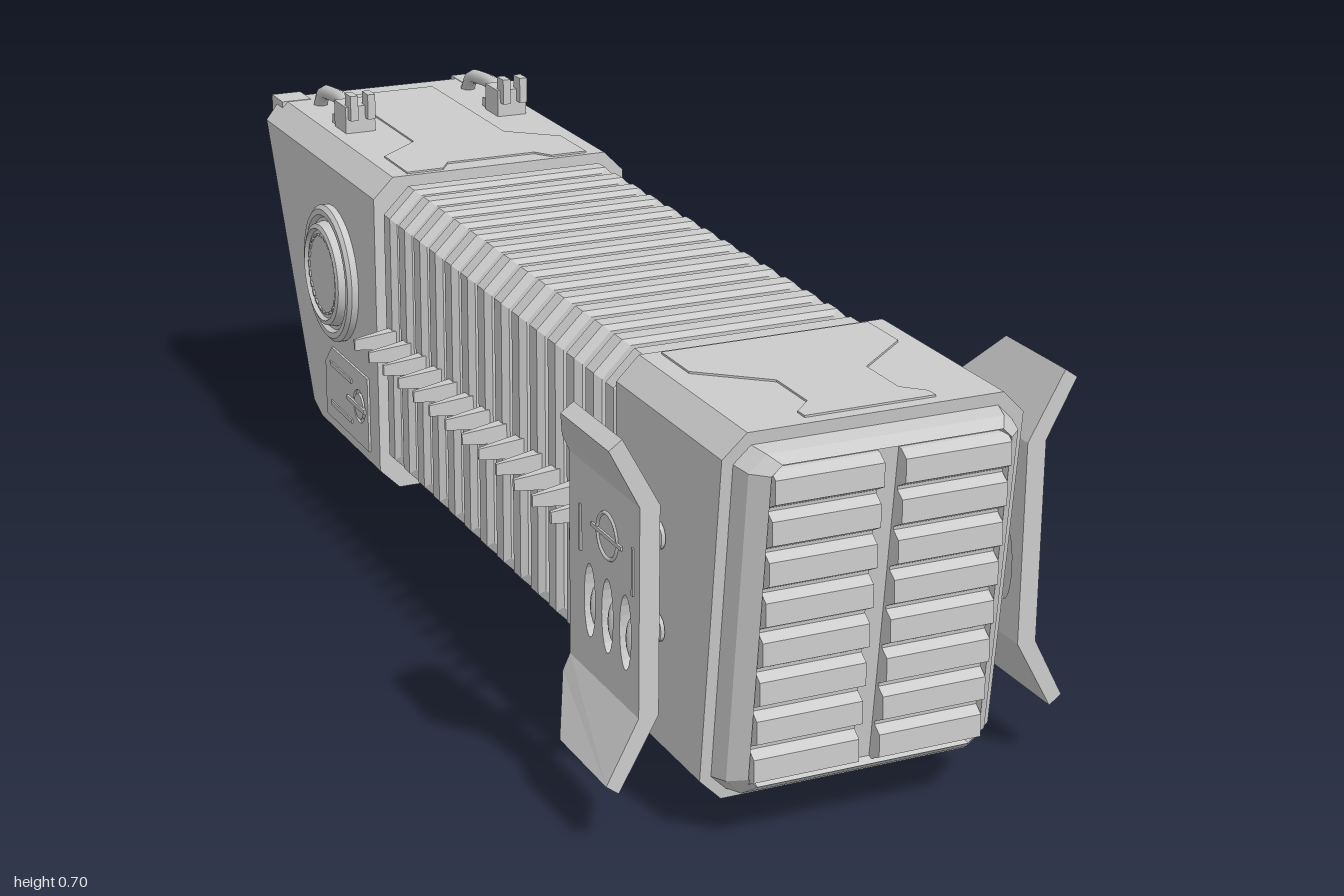
import * as THREE from 'three';
import { toCreasedNormals } from 'three/addons/utils/BufferGeometryUtils.js';

const material = new THREE.MeshStandardMaterial({ color: 0xcccccc });

function add(parent, name, geo) {
  const m = new THREE.Mesh(geo, material);
  m.name = name;
  parent.add(m);
  return m;
}

// Mirror a geometry in x, keeping its faces outward
function mirrored(geo) {
  const g = (geo.index ? geo.toNonIndexed() : geo.clone()).scale(-1, 1, 1);
  for (const a of Object.values(g.attributes)) {
    const n = a.itemSize;
    for (let i = 0; i < a.count; i += 3)
      for (let k = 0; k < n; k++) {
        const p = (i + 1) * n + k, q = p + n, t = a.array[p];
        a.array[p] = a.array[q];
        a.array[q] = t;
      }
  }
  return g;
}

function pair(parent, name, geo) {
  add(parent, name + 'Left', geo);
  add(parent, name + 'Right', mirrored(geo));
}

const box = (w, h, d, x, y, z) => new THREE.BoxGeometry(w, h, d).translate(x, y, z);

// Loft of chamfered rectangles [halfWidth, y0, y1, chamfer, z(y)], back to front, capped
function loft(rings) {
  const loops = rings.map(([w, y0, y1, c, z]) =>
    [[w, y0 + c], [w, y1 - c], [w - c, y1], [c - w, y1], [-w, y1 - c], [-w, y0 + c], [c - w, y0], [w - c, y0]]
      .map(([x, y]) => [x, y, typeof z === 'function' ? z(y) : z]));
  const pos = [];
  const tri = (...p) => p.forEach(v => pos.push(...v));
  for (let k = 0; k + 1 < loops.length; k++)
    for (let i = 0; i < 8; i++) {
      const j = (i + 1) % 8, a = loops[k], b = loops[k + 1];
      tri(a[i], a[j], b[j]);
      tri(a[i], b[j], b[i]);
    }
  const s = loops[0], e = loops[loops.length - 1];
  for (let i = 1; i < 7; i++) {
    tri(s[0], s[i + 1], s[i]);
    tri(e[0], e[i], e[i + 1]);
  }
  const g = new THREE.BufferGeometry();
  g.setAttribute('position', new THREE.Float32BufferAttribute(pos, 3));
  g.computeVertexNormals();
  return g;
}

// Side profile of [z, y] points extruded from x0 to x1, with oval holes [z, y, rz, ry]
function sideExtrude(points, x0, x1, holes = []) {
  const shape = new THREE.Shape(points.map(([z, y]) => new THREE.Vector2(-z, y)));
  for (const [z, y, rz, ry] of holes)
    shape.holes.push(new THREE.Path().absellipse(-z, y, rz, ry, 0, Math.PI * 2, true));
  return new THREE.ExtrudeGeometry(shape, { depth: x1 - x0, bevelEnabled: false, curveSegments: 10 })
    .rotateY(Math.PI / 2).translate(x0, 0, 0);
}

// Thin plate lying flat: half outline of [x, z] mirrored across x = 0
function flatPlate(half, y, t) {
  const pts = [...half, ...half.slice().reverse().map(([x, z]) => [-x, z])];
  return new THREE.ExtrudeGeometry(new THREE.Shape(pts.map(([x, z]) => new THREE.Vector2(x, -z))),
    { depth: t, bevelEnabled: false }).rotateX(-Math.PI / 2).translate(0, y, 0);
}

// Lathe whose axis points along +x
const sideLathe = (pts, seg, x, y, z) => toCreasedNormals(
  new THREE.LatheGeometry(pts.map(p => new THREE.Vector2(...p)), seg), 0.5)
  .rotateZ(-Math.PI / 2).translate(x, y, z);

const tube = (pts, r) => new THREE.TubeGeometry(
  new THREE.CatmullRomCurve3(pts.map(p => new THREE.Vector3(...p))), 20, r, 8);

const frontZ = y => 0.94 - (0.625 - y) * 0.108;
const rearZ = y => -0.97 + (0.6 - y) * 0.4375;
const off = (f, d) => y => f(y) + d;

function frontBlock() {
  const g = new THREE.Group();
  g.name = 'frontBlock';
  add(g, 'frontHousing', loft([
    [0.23, 0.06, 0.625, 0.035, 0.6],
    [0.23, 0.06, 0.625, 0.035, frontZ],
    [0.213, 0.075, 0.606, 0.025, frontZ],
    [0.205, 0.08, 0.602, 0.025, off(frontZ, 0.03)],
    [0.182, 0.098, 0.592, 0.015, off(frontZ, 0.052)],
    [0.178, 0.102, 0.588, 0.012, off(frontZ, 0.035)],
  ]));
  // Two louvre columns with stepped slats
  const profile = [[0.88, 0.59], [0.88, 0.1]];
  for (let i = 0; i < 8; i++)
    for (const [dy, d] of [[0, 0.042], [0.012, 0.063], [0.046, 0.058], [0.056, 0.042]]) {
      const y = 0.1 + 0.061 * i + dy;
      profile.push([frontZ(y) + d, y]);
    }
  pair(g, 'louvreColumn', sideExtrude(profile, 0.016, 0.179));
  add(g, 'frontTopPanel', flatPlate([[0.1, 0.92], [0.1, 0.9], [0.07, 0.87], [0.07, 0.78], [0.165, 0.7], [0.165, 0.61]], 0.624, 0.004));

  // Ribbed rods carrying the side wings
  const rod = [];
  for (let i = 0; i < 7; i++) {
    const x = i * 0.0125;
    rod.push([0.016, x], [0.021, x + 0.002], [0.021, x + 0.008], [0.016, x + 0.01]);
  }
  for (const y of [0.415, 0.275]) pair(g, 'wingRod', sideLathe(rod, 16, 0.205, y, 0.75));

  // Side wings: pierced centre plate with arms flaring outward
  const slots = [0.82, 0.76, 0.7];
  pair(g, 'wingPlate', sideExtrude([[0.865, 0.2], [0.63, 0.2], [0.63, 0.51], [0.865, 0.51]],
    0.285, 0.315, slots.map(z => [z, 0.31, 0.019, 0.056])));
  pair(g, 'wingBacking', box(0.012, 0.2, 0.2, 0.293, 0.31, 0.755));
  for (const z of slots)
    pair(g, 'wingSlotInsert', new THREE.SphereGeometry(1, 12, 8).scale(0.014, 0.035, 0.012).translate(0.3, 0.3, z));
  for (const up of [1, -1]) {
    const hinge = up > 0 ? 0.51 : 0.2, tip = up > 0 ? 0.612 : 0.092;
    const outline = [[0.865, hinge], [0.63, hinge], [0.63, hinge + up * 0.025], [0.705, tip], [0.865, tip]];
    const arm = sideExtrude(outline, 0.285, 0.315);
    const p = arm.attributes.position;
    for (let i = 0; i < p.count; i++) {
      const d = Math.abs(p.getY(i) - hinge), outer = p.getX(i) > 0.3;
      p.setX(i, p.getX(i) + d * (outer ? 0.45 : 0.55));
      if (outer && d > 0.08) p.setY(i, p.getY(i) - up * 0.014);
    }
    arm.computeVertexNormals();
    pair(g, 'wingArm', arm);
  }
  pair(g, 'wingEmblemRing', new THREE.TorusGeometry(0.033, 0.003, 6, 24).rotateY(Math.PI / 2).translate(0.315, 0.43, 0.76));
  pair(g, 'wingEmblemBar', box(0.006, 0.006, 0.1, 0.315, 0.43, 0.76));
  for (const z of [0.67, 0.845]) pair(g, 'wingTrim', box(0.005, 0.07, 0.005, 0.315, 0.41, z));
  return g;
}

function bellows() {
  const g = new THREE.Group();
  g.name = 'bellows';
  add(g, 'core', loft([[0.185, 0.13, 0.588, 0.03, -0.42], [0.185, 0.13, 0.588, 0.03, 0.62]]));
  // Wedge-shaped spike along +x, tapering to its tip
  const spike = new THREE.BoxGeometry(0.09, 0.036, 0.026);
  const p = spike.attributes.position;
  for (let i = 0; i < p.count; i++)
    if (p.getX(i) > 0) {
      p.setY(i, p.getY(i) * 0.5);
      p.setZ(i, p.getZ(i) > 0 ? 0.01 : 0.004);
    }
  spike.computeVertexNormals();
  for (let i = 0; i < 14; i++) {
    const z = 0.555 - i * 0.07;
    add(g, 'rib', loft([
      [0.21, 0.1, 0.605, 0.045, z - 0.022], [0.22, 0.092, 0.613, 0.045, z - 0.014],
      [0.22, 0.092, 0.613, 0.045, z + 0.014], [0.21, 0.1, 0.605, 0.045, z + 0.022]]));
    pair(g, 'sideSpike', spike.clone().translate(0.243, 0.355, z + 0.006));
    add(g, 'bottomSpike', spike.clone().rotateZ(-Math.PI / 2).translate(0, 0.045, z + 0.006));
  }
  return g;
}

function rearBlock() {
  const g = new THREE.Group();
  g.name = 'rearBlock';
  // Hood with a slanted, hollow rear face and rolled lower edge
  add(g, 'rearHousing', loft([
    [0.165, 0.16, 0.57, 0.03, off(rearZ, 0.075)],
    [0.19, 0.13, 0.59, 0.03, rearZ],
    [0.224, 0.105, 0.612, 0.035, rearZ],
    [0.23, 0.082, 0.625, 0.035, y => rearZ(y) + (y < 0.13 ? 0.02 : 0.004)],
    [0.23, 0.065, 0.625, 0.035, y => rearZ(y) + (y < 0.12 ? 0.055 : 0.01)],
    [0.23, 0.065, 0.625, 0.035, -0.39],
  ]));
  add(g, 'rearInnerPanel', loft([
    [0.115, 0.22, 0.53, 0.025, off(rearZ, 0.072)],
    [0.12, 0.215, 0.535, 0.025, off(rearZ, 0.055)],
    [0.135, 0.2, 0.55, 0.025, off(rearZ, 0.055)],
    [0.142, 0.193, 0.556, 0.025, off(rearZ, 0.08)],
  ]));
  const hz = rearZ(0.25);
  add(g, 'rearHandle', tube([[-0.06, 0.22, hz + 0.09], [-0.058, 0.235, hz + 0.04], [-0.03, 0.25, hz + 0.025],
    [0.03, 0.25, hz + 0.025], [0.058, 0.235, hz + 0.04], [0.06, 0.22, hz + 0.09]], 0.011));
  add(g, 'rearTopPanel', flatPlate([[0.085, -0.93], [0.085, -0.58], [0.165, -0.51], [0.165, -0.4], [0.1, -0.4], [0.08, -0.43]], 0.624, 0.004));
  add(g, 'rearBottomPanel', flatPlate([[0.1, -0.65], [0.1, -0.48], [0.075, -0.45]], 0.058, 0.01));

  // Round side dials with tick marks
  pair(g, 'dial', sideLathe([[0.122, 0], [0.122, 0.02], [0.115, 0.026], [0.105, 0.026], [0.1, 0.018], [0.094, 0.018],
    [0.09, 0.034], [0.082, 0.037], [0.078, 0.03], [0, 0.03]], 40, 0.222, 0.4, -0.6));
  for (let i = 0; i < 24; i++)
    pair(g, 'dialTick', box(0.004, 0.004, 0.011, 0.253, 0.07, 0)
      .rotateX(i * Math.PI / 12).translate(0, 0.4, -0.6));

  // Access panels below the dials
  pair(g, 'accessPanel', sideExtrude([[-0.435, 0.12], [-0.655, 0.12], [-0.655, 0.22], [-0.62, 0.255], [-0.435, 0.255]],
    0.225, 0.234, [[-0.48, 0.19, 0.03, 0.03]]));
  pair(g, 'accessKnob', sideLathe([[0.023, 0], [0.023, 0.006], [0, 0.006]], 20, 0.229, 0.19, -0.48));
  pair(g, 'accessKnobBar', box(0.006, 0.008, 0.09, 0.235, 0.19, -0.49));
  for (const y of [0.15, 0.225]) pair(g, 'accessSlot', box(0.005, 0.008, 0.11, 0.234, y, -0.57));

  // Roof clips, cables and corner lugs
  pair(g, 'clipBase', box(0.055, 0.05, 0.06, 0.145, 0.648, -0.715));
  for (const x of [0.129, 0.161]) {
    pair(g, 'clipProng', box(0.014, 0.045, 0.03, x, 0.673, -0.685));
    pair(g, 'clipFoot', box(0.014, 0.018, 0.03, x, 0.632, -0.755));
  }
  pair(g, 'cable', tube([[0.145, 0.65, -0.72], [0.145, 0.662, -0.77], [0.145, 0.66, -0.83], [0.145, 0.65, -0.88],
    [0.145, 0.62, -0.905]], 0.013));
  pair(g, 'cornerLug', box(0.055, 0.028, 0.06, 0.178, 0.612, -0.97));
  return g;
}

export function createModel() {
  const model = new THREE.Group();
  model.name = 'ribbedDevice';
  model.add(frontBlock(), bellows(), rearBlock());
  return model;
}
